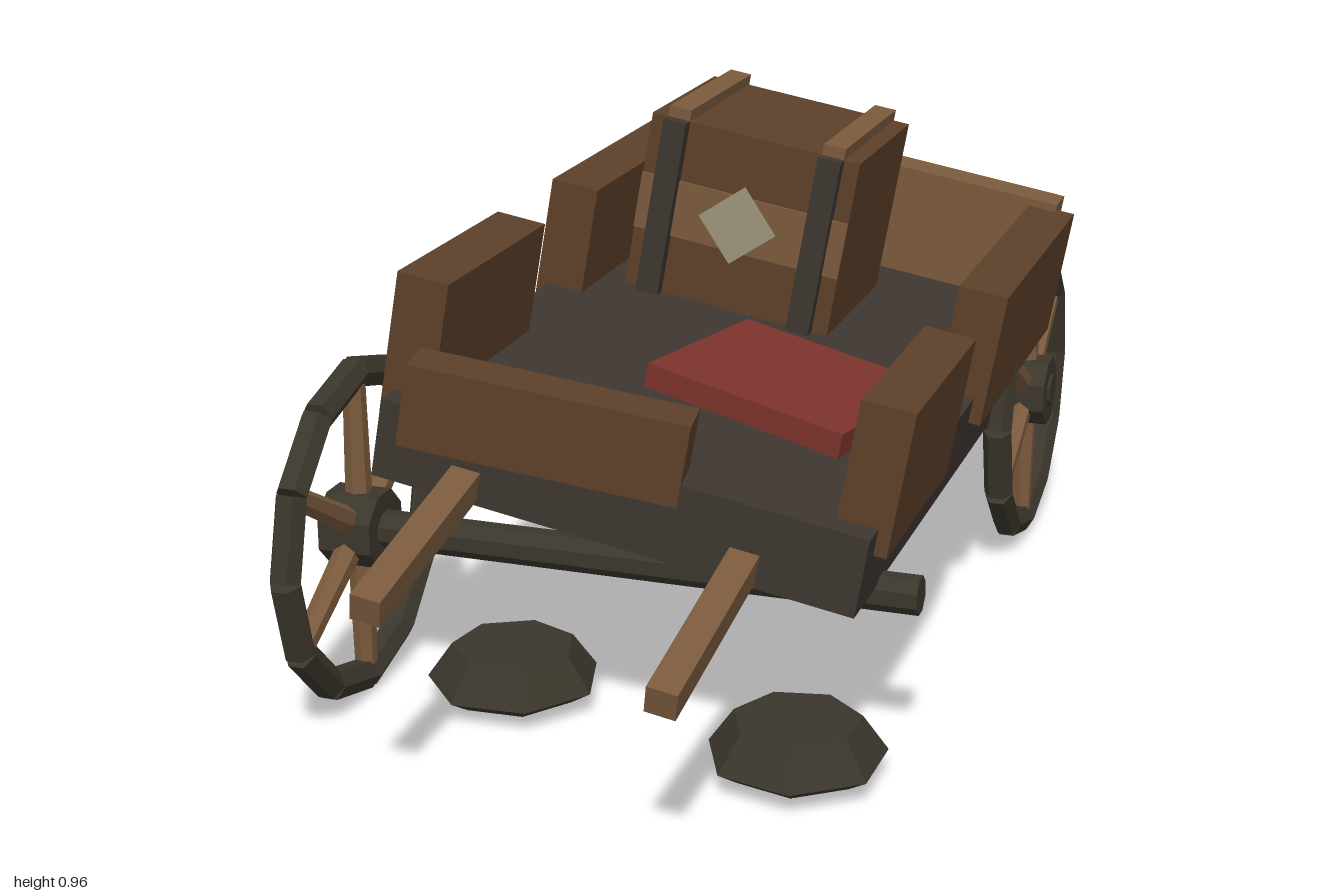
import * as THREE from 'three';

const mat = (name, color) => {
  const m = new THREE.MeshStandardMaterial({ color, flatShading: true });
  m.name = name;
  return m;
};

export function createModel() {
  const model = new THREE.Group();
  model.name = 'brokenWagon';
  const plank = mat('brown wood', 0x5c4029);
  const pale = mat('light wood', 0x7a5a3d);
  const floor = mat('dark floor wood', 0x3e3630);
  const iron = mat('dark iron', 0x3b362c);
  const red = mat('red cloth', 0x7c332b);
  const paper = mat('paper', 0x9c957c);

  const add = (parent, name, geo, material, x = 0, y = 0, z = 0) => {
    const m = new THREE.Mesh(geo, material);
    m.name = name;
    m.position.set(x, y, z);
    parent.add(m);
    return m;
  };
  const box = (parent, name, material, size, pos) =>
    add(parent, name, new THREE.BoxGeometry(...size), material, ...pos);

  // Leaning body: everything inside tilts down towards the missing wheel
  const body = new THREE.Group();
  body.name = 'body';
  body.position.set(0.058, 0.48, 0);
  body.rotation.z = -Math.PI / 18;
  model.add(body);

  box(body, 'bed', floor, [0.86, 0.14, 1.47], [0, 0, -0.097]);
  for (const s of [-1, 1]) {
    box(body, 'frontSideBoard', plank, [0.093, 0.255, 0.43], [s * 0.406, 0.15, 0.37]);
    box(body, 'rearSideBoard', plank, [0.093, 0.255, 0.665], [s * 0.406, 0.15, -0.447]);
  }
  box(body, 'tailBoard', pale, [0.833, 0.25, 0.082], [0, 0.168, -0.8]);
  box(body, 'looseFrontBoard', plank, [0.476, 0.144, 0.09], [-0.134, 0.103, 0.635]).rotation.y = 0.155;

  // Pulling shafts slope down from the bed
  for (const x of [-0.263, 0.232]) {
    box(body, 'shaft', pale, [0.052, 0.05, 0.42], [x, -0.075, 0.79]).rotation.x = 0.25;
  }

  // Folded cloth on the bed
  box(body, 'foldedCloth', red, [0.392, 0.045, 0.367], [0.1375, 0.0925, 0.127]).rotation.y = -0.2;

  // Crate with paler middle plank, runners, straps and a paper note
  const crate = new THREE.Group();
  crate.name = 'crate';
  crate.position.set(-0.104, 0.245, -0.428);
  body.add(crate);
  box(crate, 'crateBox', plank, [0.42, 0.35, 0.382], [0, 0, 0]);
  box(crate, 'crateMiddlePlank', pale, [0.42, 0.112, 0.008], [0, 0, 0.193]);
  for (const s of [-1, 1]) {
    box(crate, 'crateRunner', pale, [0.044, 0.024, 0.382], [s * 0.156, 0.185, 0]);
    box(crate, 'crateStrap', floor, [0.046, 0.35, 0.026], [s * 0.156, 0, 0.204]);
  }
  box(crate, 'paperNote', paper, [0.11, 0.11, 0.008], [0, 0.003, 0.212]).rotation.z = 0.76;

  // Axles
  const axleY = 0.319, frontZ = 0.47, rearZ = -0.686;
  for (const z of [frontZ, rearZ]) {
    const g = new THREE.CylinderGeometry(0.034, 0.034, 1.092, 8).rotateY(Math.PI / 8).rotateZ(Math.PI / 2);
    add(model, 'axle', g, iron, -0.006, axleY, z);
  }

  // Wheels: twelve rim pieces, six spokes and a hub, turning around x
  const wheel = (x, z) => {
    const w = new THREE.Group();
    w.name = 'wheel';
    w.position.set(x, axleY, z);
    model.add(w);
    const hub = new THREE.CylinderGeometry(0.072, 0.072, 0.1, 8).rotateY(Math.PI / 8).rotateZ(Math.PI / 2);
    add(w, 'hub', hub, iron);
    for (let i = 0; i < 12; i++) {
      const g = new THREE.CylinderGeometry(0.029, 0.029, 0.147, 6)
        .rotateY(Math.PI / 2).rotateX(Math.PI / 2).translate(0, 0.278, 0)
        .rotateX((i + 0.5) * Math.PI / 6);
      add(w, 'rimPiece', g, iron);
    }
    for (let i = 0; i < 6; i++) {
      const g = new THREE.CylinderGeometry(0.02, 0.024, 0.22, 6)
        .translate(0, 0.16, 0).rotateX(i * Math.PI / 3);
      add(w, 'spoke', g, pale);
    }
  };
  wheel(-0.487, frontZ);
  wheel(-0.487, rearZ);
  wheel(0.484, rearZ);

  // Flat stones on the ground
  const stoneProfile = [[0, 0.024], [0.118, 0.024], [0.157, 0.048], [0.112, 0.112], [0, 0.112]]
    .map(([r, y]) => new THREE.Vector2(r, y));
  for (const [x, z, turn] of [[0.357, 0.57, 0.2], [-0.21, 0.435, 0.5], [0.006, -0.717, 0]]) {
    add(model, 'stone', new THREE.LatheGeometry(stoneProfile, 7), iron, x, 0, z).rotation.y = turn;
  }
  return model;
}
